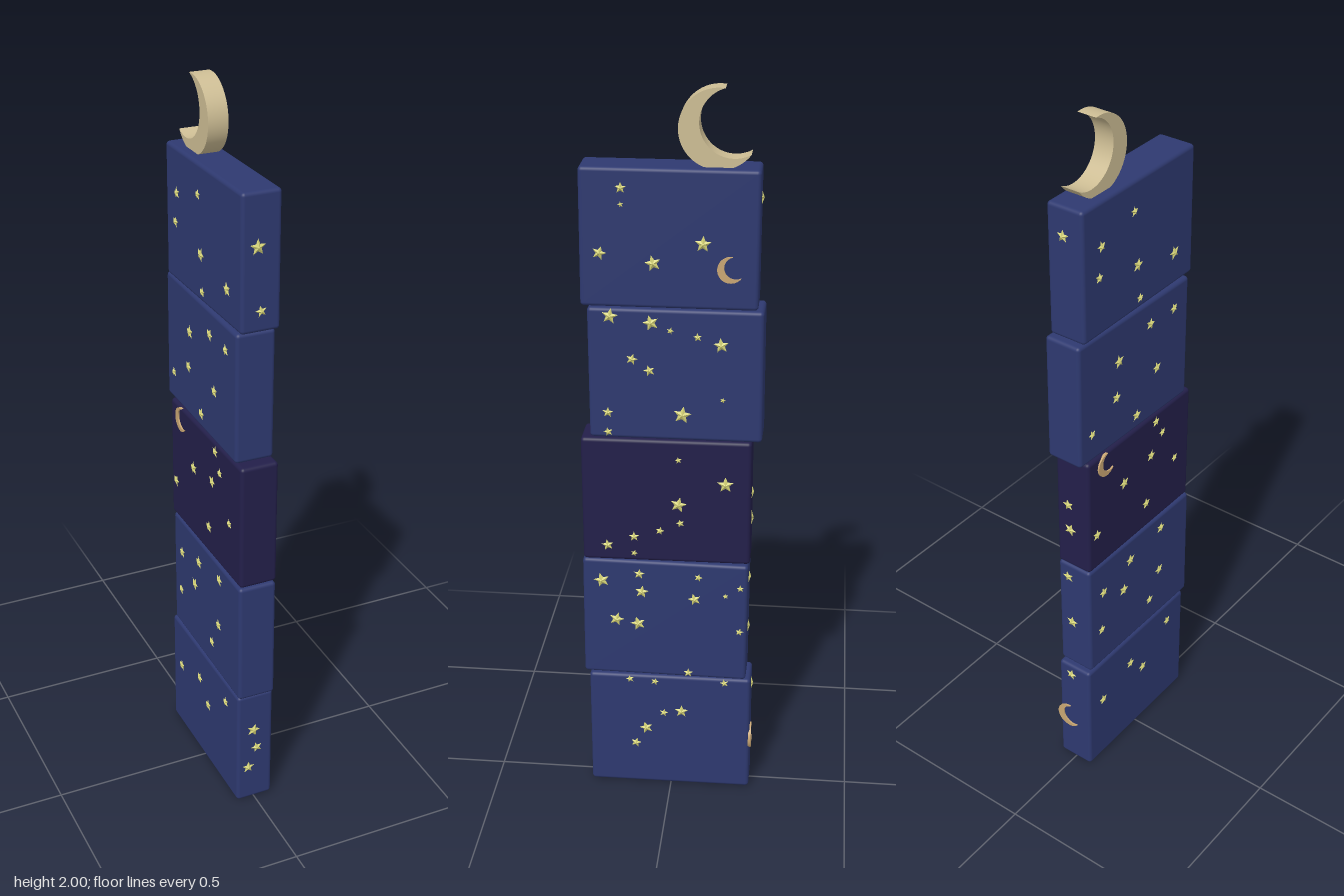
import * as THREE from 'three';
import { toCreasedNormals } from 'three/addons/utils/BufferGeometryUtils.js';
import { RoundedBoxGeometry } from 'three/addons/geometries/RoundedBoxGeometry.js';

const material = (name, color, extra = {}) => new THREE.MeshStandardMaterial({ name, color, ...extra });

// Five-pointed star of radius 1, slightly raised in the middle, facing +z
function starGeometry() {
  const g = new THREE.ConeGeometry(1, 1, 10, 1, true);
  const p = g.attributes.position;
  for (let i = 0; i < p.count; i++) {
    const x = p.getX(i), z = p.getZ(i);
    const corner = Math.round(Math.atan2(x, z) / (Math.PI / 5));
    const k = Math.abs(corner % 2) === 1 ? 1 : 0.45;
    p.setXYZ(i, x * k, p.getY(i) + 0.5, z * k);
  }
  g.rotateX(Math.PI / 2);
  return g;
}

// Crescent with outer radius 1, open towards +x and tipped up a little
function crescentGeometry(depth) {
  const s = new THREE.Shape();
  s.absarc(0, 0, 1, 1.033, Math.PI * 2 - 1.033, false);
  s.absarc(0.41, 0, 0.865, -1.453, 1.453, true);
  const g = new THREE.ExtrudeGeometry(s, { depth, bevelEnabled: false, curveSegments: 28 });
  g.translate(0, 0, -depth / 2);
  g.rotateZ(0.39);
  return toCreasedNormals(g, 0.7);
}

// Blocks from the bottom up: centre z, yaw, tilt
const HEIGHT = 0.358, STEP = 0.361, WIDTH = 0.106, DEPTH = 0.452;
const BLOCKS = [
  [0.003, 0.004, 0.002], [0.016, -0.008, -0.004], [0.013, 0.006, 0.003],
  [-0.012, -0.01, 0.005], [0.005, 0.008, -0.003],
];

// Star positions on each face: across (z on sides, x on front and back), height, radius
const STARS = {
  left: [
    [0.125, 1.757, 0.015], [0.125, 1.715, 0.008], [0.18, 1.59, 0.019], [0.045, 1.567, 0.022], [-0.08, 1.62, 0.022],
    [0.155, 1.425, 0.022], [0.05, 1.41, 0.022], [0, 1.39, 0.01], [-0.07, 1.375, 0.012], [-0.13, 1.355, 0.021],
    [0.1, 1.31, 0.016], [0.055, 1.28, 0.016], [-0.03, 1.16, 0.025], [0.165, 1.16, 0.015], [0.165, 1.105, 0.013], [-0.135, 1.205, 0.008],
    [-0.02, 1.03, 0.01], [-0.145, 0.963, 0.023], [-0.02, 0.9, 0.023], [-0.025, 0.845, 0.012],
    [0.03, 0.82, 0.013], [0.1, 0.8, 0.015], [0.172, 0.772, 0.017], [0.1, 0.75, 0.01],
  ].concat([
    [0.19, 0.66, 0.023], [0.087, 0.685, 0.016], [0.08, 0.63, 0.02], [-0.065, 0.615, 0.019], [-0.075, 0.683, 0.012],
    [-0.15, 0.63, 0.009], [-0.19, 0.656, 0.011], [0.15, 0.54, 0.022], [0.09, 0.53, 0.022], [-0.19, 0.52, 0.012], [-0.05, 0.38, 0.014],
    [0.115, 0.35, 0.012], [0.045, 0.345, 0.012], [-0.15, 0.35, 0.013], [-0.03, 0.25, 0.02], [0.02, 0.243, 0.013], [0.07, 0.19, 0.02], [0.1, 0.138, 0.016],
  ]),
  right: [
    [-0.02, 1.727, 0.014], [-0.15, 1.69, 0.016], [-0.005, 1.575, 0.02], [0.15, 1.54, 0.02], [0.004, 1.478, 0.014], [-0.16, 1.61, 0.015],
    [0.15, 1.38, 0.016], [0.05, 1.38, 0.018], [-0.08, 1.333, 0.02], [0.08, 1.234, 0.018], [-0.09, 1.23, 0.018], [-0.19, 1.17, 0.014], [-0.005, 1.13, 0.018],
    [0.08, 1.06, 0.016], [0.11, 1.01, 0.014], [0.06, 0.96, 0.018], [-0.06, 0.94, 0.02], [0.04, 0.81, 0.018], [-0.18, 0.84, 0.018], [0.17, 0.89, 0.014],
    [0.11, 0.68, 0.018], [-0.03, 0.655, 0.02], [-0.15, 0.62, 0.018], [-0.06, 0.567, 0.02], [0.105, 0.53, 0.018], [0.06, 0.446, 0.016], [-0.16, 0.49, 0.016],
    [0.15, 0.3, 0.016], [-0.03, 0.263, 0.018], [0.03, 0.205, 0.018], [-0.16, 0.22, 0.018],
  ],
  front: [[-0.01, 1.67, 0.022], [0, 1.505, 0.016], [-0.005, 0.243, 0.021], [0.005, 0.18, 0.018], [-0.02, 0.116, 0.019]],
  back: [[0.005, 1.73, 0.018], [0.015, 0.93, 0.018], [0.01, 0.85, 0.02], [0.02, 0.68, 0.018], [0.01, 0.52, 0.02], [0.01, 0.33, 0.018]],
};
const MOONS = { left: [[-0.15, 1.556, 0.034]], right: [[-0.14, 1.05, 0.034]], back: [[0.02, 0.165, 0.038]] };

// Each face: turn about y, distance from block centre, sign of its across axis
const FACES = {
  left: [Math.PI / 2, WIDTH / 2, -1], right: [-Math.PI / 2, WIDTH / 2, 1],
  front: [0, DEPTH / 2, 1], back: [Math.PI, DEPTH / 2, -1],
};

export function createModel() {
  const model = new THREE.Group();
  model.name = 'stackedNightSkyBlocks';
  const blue = material('nightBlue', 0x2e3970);
  const purple = material('darkPurple', 0x231f4a);
  const yellow = material('starYellow', 0xd6d478, { flatShading: true });
  const tan = material('smallMoonTan', 0xc9a673);
  const cream = material('moonCream', 0xcdbd94);

  // Blocks
  const box = new RoundedBoxGeometry(WIDTH, HEIGHT, DEPTH, 3, 0.01);
  const blocks = BLOCKS.map(([z, yaw, tilt], i) => {
    const group = new THREE.Group();
    group.name = `block${i + 1}`;
    group.position.set(0, 0.184 + i * STEP, z);
    group.rotation.set(tilt, yaw, 0);
    const body = new THREE.Mesh(box, i === 2 ? purple : blue);
    body.name = 'blockBody';
    group.add(body);
    model.add(group);
    return group;
  });

  // Stars and small moons on the block faces
  const addDetails = (table, geometry, mat, name, thickness) => {
    for (const [face, list] of Object.entries(table)) {
      const [turn, out, sign] = FACES[face];
      list.forEach(([across, y, r], n) => {
        const block = blocks[Math.min(4, Math.floor((y - 0.003) / STEP))];
        const side = face === 'left' || face === 'right';
        const holder = new THREE.Group();
        holder.name = `${face}${name}`;
        holder.rotation.y = turn;
        const mesh = new THREE.Mesh(geometry, mat);
        mesh.name = name;
        mesh.scale.set(r, r, thickness);
        mesh.position.set(sign * (across - (side ? block.position.z : 0)), y - block.position.y, out + 0.0005);
        if (name === 'Star') mesh.rotation.z = Math.sin(n * 2.4) * 0.3;
        holder.add(mesh);
        block.add(holder);
      });
    }
  };
  addDetails(STARS, starGeometry(), yellow, 'Star', 0.006);
  addDetails(MOONS, crescentGeometry(1), tan, 'Moon', 0.008);

  // Large crescent on top
  const moon = new THREE.Mesh(crescentGeometry(0.54), cream);
  moon.name = 'topCrescent';
  moon.scale.setScalar(0.1);
  moon.rotation.y = Math.PI / 2;
  moon.position.set(0, 1.9, -0.115);
  model.add(moon);
  return model;
}
